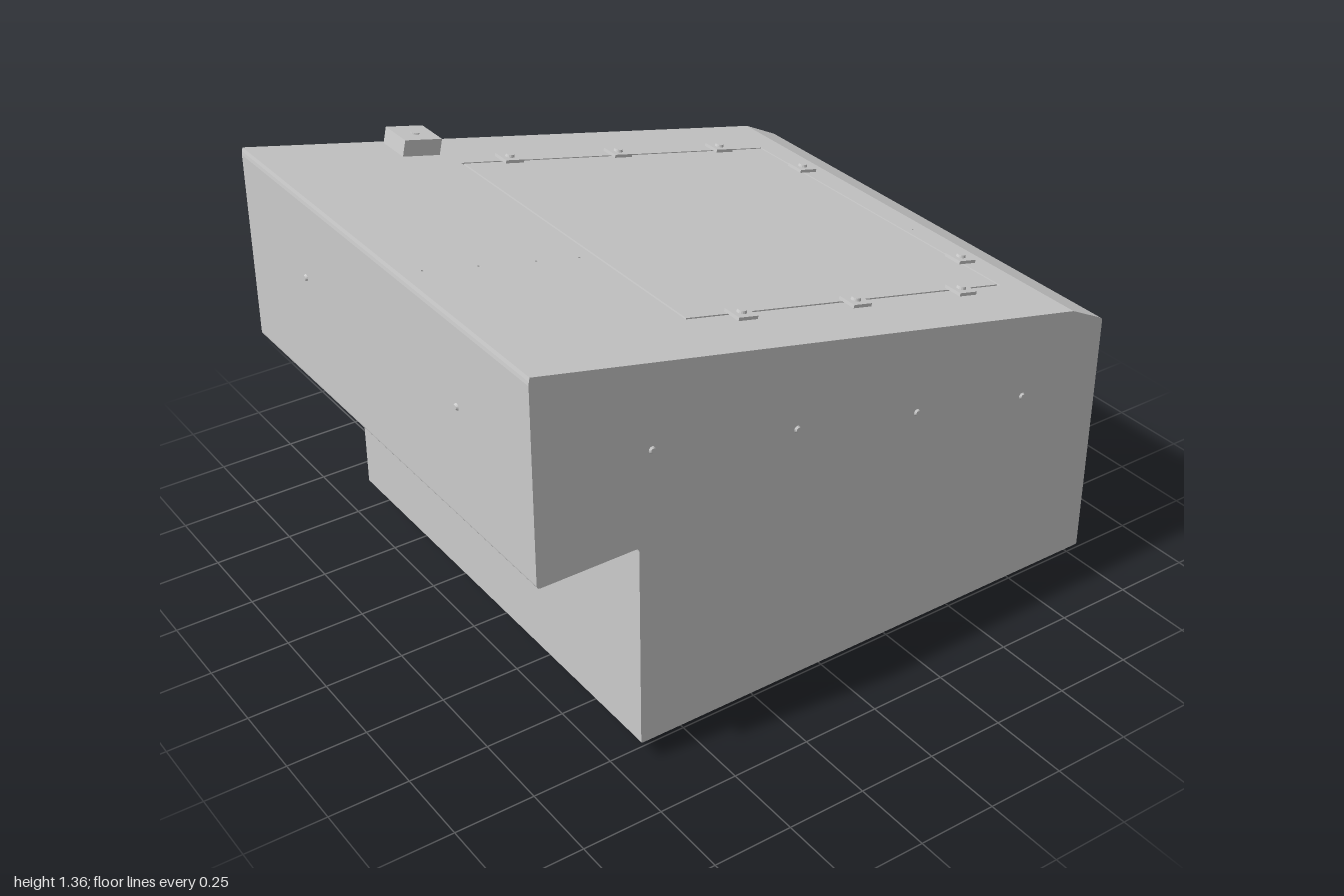
import * as THREE from 'three';

const mat = new THREE.MeshStandardMaterial({ color: 0xcccccc, flatShading: true });
const smooth = new THREE.MeshStandardMaterial({ color: 0xcccccc });
const T = 0.012; // thickness of the top sheet

function add(parent, name, geo, x = 0, y = 0, z = 0, m = mat) {
  const mesh = new THREE.Mesh(geo, m);
  mesh.name = name;
  mesh.position.set(x, y, z);
  parent.add(mesh);
  return mesh;
}

// Polygon with corners [x, y, radius]
function roundedPolygon(pts) {
  const s = new THREE.Shape();
  pts.forEach(([x, y, r = 0], i) => {
    const p = new THREE.Vector2(x, y);
    const toward = q => p.clone().add(new THREE.Vector2(q[0], q[1]).sub(p).setLength(r));
    const a = toward(pts[(i + pts.length - 1) % pts.length]);
    const b = toward(pts[(i + 1) % pts.length]);
    if (i) s.lineTo(a.x, a.y); else s.moveTo(a.x, a.y);
    if (r) s.quadraticCurveTo(x, y, b.x, b.y);
  });
  s.closePath();
  return s;
}

function rect(x0, x1, y0, y1, Type = THREE.Shape) {
  const s = new Type();
  s.moveTo(x0, y0); s.lineTo(x1, y0); s.lineTo(x1, y1); s.lineTo(x0, y1); s.closePath();
  return s;
}

function hole(x, y, r) {
  const p = new THREE.Path();
  p.absarc(x, y, r, 0, Math.PI * 2);
  return p;
}

// Flat plate lying in x/z with its upper face at y = 0
function plate(shape, depth) {
  return new THREE.ExtrudeGeometry(shape, { depth, bevelEnabled: false, curveSegments: 6 }).rotateX(Math.PI / 2);
}

export function createModel() {
  const model = new THREE.Group();
  model.name = 'consoleCabinet';

  // Sloping top: from P0 at the high end to P1 at the low end
  const P0 = [-0.99, 1.358], P1 = [0.86, 0.948];
  const length = Math.hypot(P1[0] - P0[0], P1[1] - P0[1]);
  const angle = Math.atan2(P1[1] - P0[1], P1[0] - P0[0]);
  const n = [-Math.sin(angle) * T, Math.cos(angle) * T];
  const u = x => (x - P0[0]) / Math.cos(angle);

  // Cabinet body, stepped below at the high end
  const profile = roundedPolygon([
    [P0[0] - n[0], P0[1] - n[1]], [-0.994, 1.335], [-0.994, 0.728, 0.012], [-0.678, 0.728, 0.012],
    [-0.678, 0.065, 0.005], [0.986, 0.065, 0.005], [0.986, 0.884, 0.01], P1,
    [P1[0] - n[0], P1[1] - n[1]],
  ]);
  add(model, 'body', new THREE.ExtrudeGeometry(profile, { depth: 1.6, bevelEnabled: false, curveSegments: 4 }), 0, 0, -0.8);

  const top = new THREE.Group();
  top.name = 'slopingTop';
  top.position.set(P0[0], P0[1], 0);
  top.rotation.z = angle;
  model.add(top);

  // Top sheet with an opening, and the lid set in it with a narrow gap
  const sheet = rect(0, length, -0.8, 0.8);
  const [a, b, c, d, g] = [u(-0.38), u(0.765), -0.593, 0.587, 0.007];
  sheet.holes.push(rect(a, b, c, d, THREE.Path));
  [-0.92, -0.75, -0.57, -0.43, 0.8].forEach(x => sheet.holes.push(hole(u(x), 0.15, 0.005)));
  add(top, 'topSheet', plate(sheet, T));
  add(top, 'lid', plate(rect(a + g, b - g, c + g, d - g), T));

  // Lid clips
  const clips = [[0.78, -0.39], [0.78, 0.39]];
  for (const x of [-0.205, 0.195, 0.595]) for (const s of [-1, 1]) clips.push([x, s * 0.6 - 0.003]);
  for (const [x, z] of clips) {
    const clip = new THREE.Group();
    clip.name = 'lidClip';
    clip.position.set(u(x), 0, z);
    top.add(clip);
    add(clip, 'clipPlate', new THREE.BoxGeometry(0.066, 0.01, 0.066), 0, 0.005, 0);
    add(clip, 'clipScrew', new THREE.CylinderGeometry(0.013, 0.015, 0.008, 16), 0, 0.014, 0);
  }

  // Block with a button, near the high end
  add(top, 'block', new THREE.BoxGeometry(0.128, 0.052, 0.122), u(-0.475), 0.026, -0.727);
  add(top, 'blockButton', new THREE.CylinderGeometry(0.014, 0.014, 0.004, 16), u(-0.473), 0.054, -0.724);

  // Low screw heads and ring pulls; built facing +z, then turned to their wall
  const wall = (name, x, y, z, turn) => {
    const group = new THREE.Group();
    group.name = name;
    group.position.set(x, y, z);
    group.rotation.y = turn;
    model.add(group);
    return group;
  };
  const screw = (...at) => add(wall('wallScrew', ...at), 'screwHead',
    new THREE.CylinderGeometry(0.007, 0.011, 0.006, 12).rotateX(Math.PI / 2), 0, 0, 0.003);
  const pull = (r, ...at) => {
    const group = wall('ringPull', ...at);
    add(group, 'ring', new THREE.TorusGeometry(r, 0.003, 6, 20, Math.PI).rotateZ(-Math.PI / 2), 0, 0, 0.003, smooth);
    return group;
  };
  const right = Math.PI / 2;
  [[-0.635, 1.02], [-0.16, 0.91], [0.27, 0.81], [0.68, 0.72]].forEach(([x, y]) => {
    screw(x, y, 0.8, 0);
    screw(x, y, -0.8, Math.PI);
  });
  for (const s of [-1, 1]) {
    screw(0.986, 0.655, s * 0.607, right);
    screw(-0.994, 1.09, s * 0.43, -right);
    pull(0.032, 0.986, 0.135, s * 0.4, right);
  }
  add(wall('latch', 0.986, 0.588, 0, right), 'latchKnob',
    new THREE.CylinderGeometry(0.015, 0.015, 0.012, 16, 1, false, -right, Math.PI).rotateX(-right), 0, 0, 0.006);
  const socket = pull(0.038, -0.16, 0.23, -0.8, Math.PI);
  add(socket, 'socketPin', new THREE.CylinderGeometry(0.012, 0.012, 0.008, 12).rotateX(right), 0, 0, 0.004);

  // Levelling feet
  const footProfile = [[0, 0], [0.043, 0], [0.043, 0.014], [0.028, 0.018], [0.028, 0.031],
    [0.011, 0.034], [0.011, 0.055], [0.022, 0.055], [0.022, 0.066]].map(p => new THREE.Vector2(...p));
  for (const x of [-0.56, 0.872]) for (const z of [-0.65, 0.65])
    add(model, 'foot', new THREE.LatheGeometry(footProfile, 24), x, 0, z);

  // Round plugs under the floor
  for (const [x, z] of [[-0.585, 0.43], [-0.325, 0.43], [0.587, 0.51], [0.69, 0.51]])
    for (const s of [-1, 1])
      add(model, 'floorPlug', new THREE.CylinderGeometry(0.021, 0.021, 0.014, 20), x, 0.058, s * z);

  // Floor hatch with vents and a row of slots
  const hatch = rect(-0.625, -0.315, -0.375, 0.375);
  for (let i = 0; i < 5; i++) {
    const z = -0.1 + i * 0.045;
    hatch.holes.push(rect(-0.49, -0.37, z, z + 0.016, THREE.Path));
  }
  for (let i = 0; i < 8; i++) {
    const z = -0.32 + i * 0.086;
    hatch.holes.push(rect(-0.597, -0.58, z, z + 0.045, THREE.Path));
  }
  for (const z of [-0.3, 0.3]) hatch.holes.push(hole(-0.38, z, 0.012));
  add(model, 'floorHatch', plate(hatch, 0.004), 0, 0.065, 0);
  add(model, 'hatchLip', new THREE.BoxGeometry(0.012, 0.008, 0.75), -0.63, 0.061, 0);
  return model;
}
